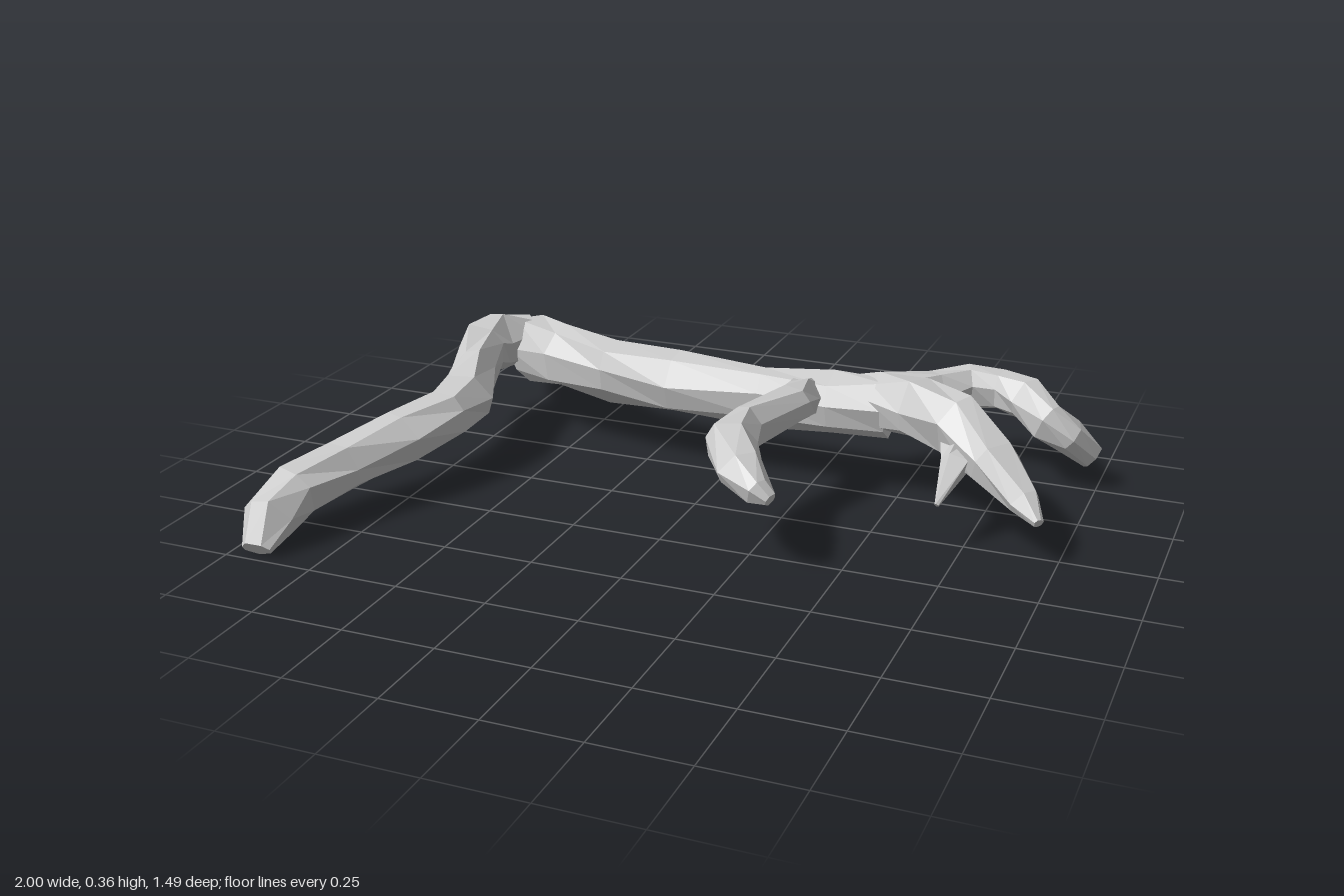
import * as THREE from 'three';

const material = new THREE.MeshStandardMaterial({ color: 0xcccccc, flatShading: true });

// Faceted tube through stations [x, y, z, width radius, height radius]
function limb(name, stations, sides = 7) {
  const centres = stations.map(([x, y, z]) => new THREE.Vector3(x, y, z));
  const up = new THREE.Vector3(0, 1, 0);
  const n = stations.length;
  const positions = [], index = [];
  centres.forEach((c, i) => {
    const before = c.clone().sub(centres[Math.max(i - 1, 0)]).normalize();
    const after = centres[Math.min(i + 1, n - 1)].clone().sub(c).normalize();
    const along = before.add(after).normalize();
    const side = along.clone().cross(up).normalize();
    const lift = side.clone().cross(along);
    const rw = stations[i][3], rh = stations[i][4] ?? rw;
    for (let j = 0; j < sides; j++) {
      // small regular irregularity gives the bark uneven facets
      const a = (j + 0.2 * Math.sin(i * 2.3 + j * 1.7)) / sides * Math.PI * 2 + 0.2;
      const k = 1.04 + 0.05 * Math.sin(i * 3.1 + j * 2.4);
      const p = c.clone().addScaledVector(side, Math.cos(a) * rw * k).addScaledVector(lift, Math.sin(a) * rh * k);
      positions.push(p.x, p.y, p.z);
    }
  });
  const start = n * sides, end = start + 1;
  for (const c of [centres[0], centres[n - 1]]) positions.push(c.x, c.y, c.z);
  for (let j = 0; j < sides; j++) {
    const k = (j + 1) % sides, last = (n - 1) * sides;
    for (let i = 0; i < n - 1; i++) {
      const a = i * sides + j, b = i * sides + k;
      index.push(a, a + sides, b, b, a + sides, b + sides);
    }
    index.push(start, j, k, end, last + k, last + j);
  }
  const geometry = new THREE.BufferGeometry();
  geometry.setAttribute('position', new THREE.Float32BufferAttribute(positions, 3));
  geometry.setIndex(index);
  geometry.computeVertexNormals();
  const mesh = new THREE.Mesh(geometry, material);
  mesh.name = name;
  return mesh;
}

export function createModel() {
  const group = new THREE.Group();
  group.name = 'fallenBranch';
  group.add(
    // main stem, from the splintered back end to the fork
    limb('mainStem', [
      [-0.845, 0.08, -0.735, 0.02, 0.015], [-0.78, 0.16, -0.61, 0.065, 0.07],
      [-0.715, 0.225, -0.48, 0.09, 0.1], [-0.56, 0.245, -0.375, 0.085, 0.09],
      [-0.38, 0.245, -0.318, 0.075, 0.09], [-0.18, 0.24, -0.305, 0.075, 0.085],
      [0.1, 0.24, -0.285, 0.07, 0.085], [0.3, 0.25, -0.28, 0.072, 0.085],
      [0.46, 0.26, -0.275, 0.07, 0.08],
    ], 8),
    // long limb reaching to the front
    limb('longLimb', [
      [-0.73, 0.25, -0.47, 0.05, 0.07], [-0.8, 0.26, -0.4, 0.075, 0.085],
      [-0.815, 0.255, -0.32, 0.07, 0.08], [-0.765, 0.225, -0.18, 0.065, 0.08],
      [-0.725, 0.205, -0.05, 0.077, 0.075], [-0.735, 0.19, 0.06, 0.08, 0.07],
      [-0.785, 0.17, 0.22, 0.08, 0.07], [-0.86, 0.145, 0.4, 0.075, 0.07],
      [-0.918, 0.12, 0.55, 0.075, 0.07], [-0.925, 0.085, 0.65, 0.07, 0.065],
      [-0.92, 0.03, 0.73, 0.04, 0.025],
    ]),
    // crooked twig on the front
    limb('frontTwig', [
      [0.21, 0.25, -0.3, 0.07, 0.06], [0.23, 0.28, -0.2, 0.055, 0.055],
      [0.235, 0.29, -0.12, 0.05, 0.055], [0.17, 0.285, 0.08, 0.055, 0.06],
      [0.175, 0.285, 0.19, 0.065, 0.065], [0.235, 0.255, 0.28, 0.06, 0.055],
      [0.3, 0.225, 0.325, 0.04, 0.035], [0.335, 0.21, 0.335, 0.02, 0.018],
    ]),
    // thick fork bending forward to a point
    limb('forwardFork', [
      [0.28, 0.25, -0.28, 0.06, 0.07], [0.43, 0.265, -0.285, 0.07, 0.08],
      [0.55, 0.285, -0.245, 0.08, 0.085], [0.68, 0.275, -0.165, 0.08, 0.085],
      [0.8, 0.225, -0.085, 0.07, 0.065], [0.9, 0.16, 0.0, 0.04, 0.04],
      [0.95, 0.13, 0.05, 0.014, 0.012],
    ]),
    limb('thorn', [
      [0.7, 0.25, -0.15, 0.06, 0.06], [0.705, 0.21, -0.06, 0.04, 0.045],
      [0.685, 0.135, 0.045, 0.006, 0.006],
    ], 5),
    // thin fork curling around the back
    limb('backFork', [
      [0.3, 0.25, -0.28, 0.06, 0.065], [0.42, 0.245, -0.39, 0.07, 0.065],
      [0.53, 0.24, -0.505, 0.06, 0.06], [0.61, 0.24, -0.575, 0.055, 0.06],
      [0.7, 0.24, -0.585, 0.05, 0.06], [0.78, 0.235, -0.55, 0.055, 0.06],
      [0.86, 0.205, -0.475, 0.05, 0.055], [0.92, 0.165, -0.485, 0.05, 0.05],
      [0.98, 0.1, -0.52, 0.025, 0.035],
    ]),
  );
  return group;
}
